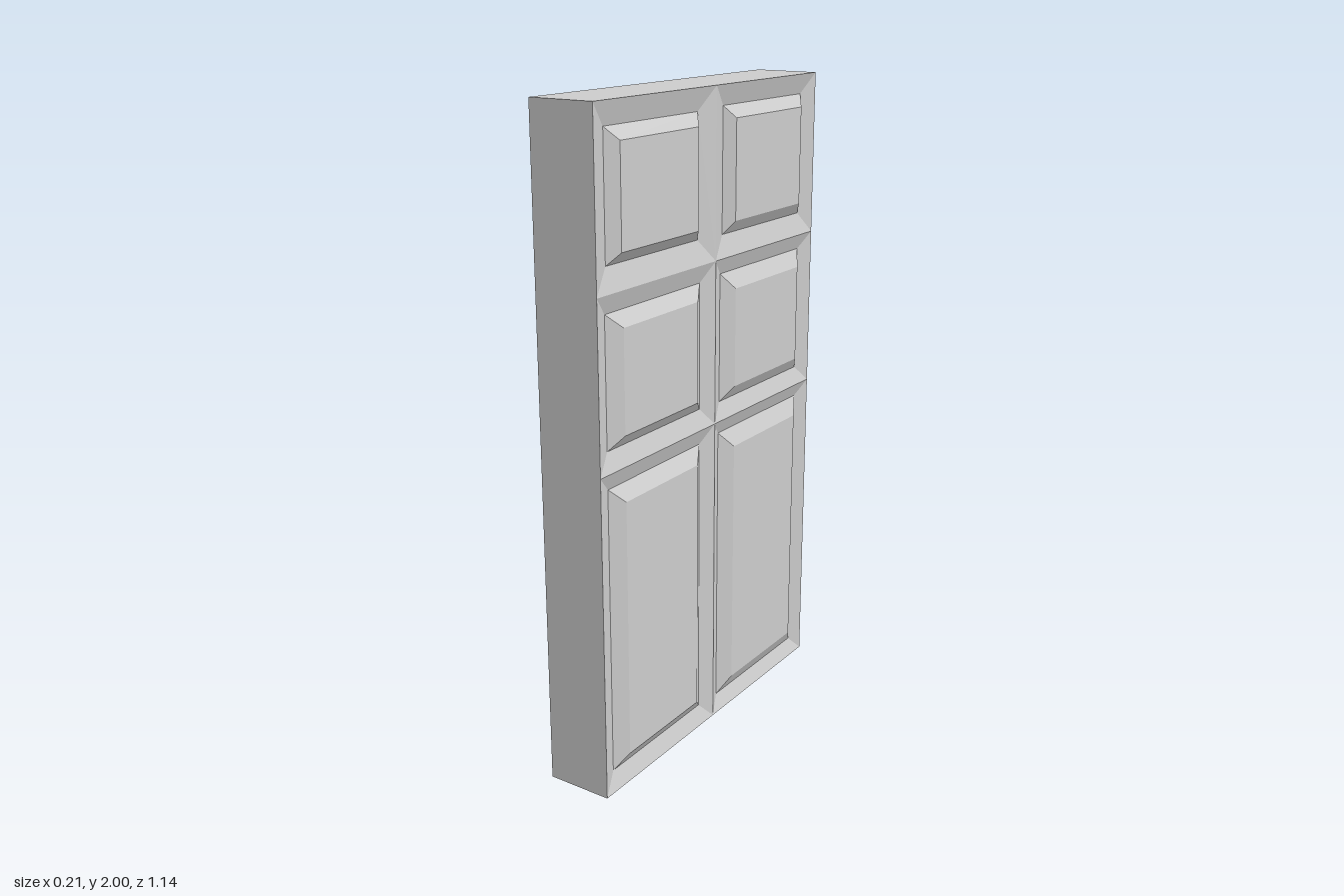
import * as THREE from 'three';

const BACK = -0.107, FRONT = 0.0995, GROOVE = 0.08, FACE = 0.1065;
const HALF = 0.568;

// Rectangle facing +x, counter-clockwise when seen from +x
const rect = (x, y0, y1, z0, z1) => [[x, y0, z0], [x, y1, z0], [x, y1, z1], [x, y0, z1]];

// Joins successive rectangles with flat quads; optional caps close the ends
function loft(rings, capStart, capEnd) {
  const pos = [];
  const quad = (a, b, c, d) => pos.push(...a, ...b, ...c, ...a, ...c, ...d);
  for (let r = 0; r < rings.length - 1; r++) {
    const a = rings[r], b = rings[r + 1];
    for (let i = 0; i < 4; i++) {
      const j = (i + 1) % 4;
      quad(a[i], a[j], b[j], b[i]);
    }
  }
  if (capStart) quad(...[...rings[0]].reverse());
  if (capEnd) quad(...rings[rings.length - 1]);
  const g = new THREE.BufferGeometry();
  g.setAttribute('position', new THREE.Float32BufferAttribute(pos, 3));
  g.computeVertexNormals();
  return g;
}

export function createModel() {
  const door = new THREE.Group();
  door.name = 'panelDoor';
  const material = new THREE.MeshStandardMaterial({ color: 0xcccccc, flatShading: true });
  const add = (name, geometry) => {
    const mesh = new THREE.Mesh(geometry, material);
    mesh.name = name;
    door.add(mesh);
  };

  // Slab: back and four edges, the front is filled by the panel cells
  add('slab', loft([rect(BACK, 0, 2, -HALF, HALF), rect(FRONT, 0, 2, -HALF, HALF)], true, false));

  // Each panel: cell [y0, y1, z0, z1], groove rectangle, raised face rectangle
  const panels = [
    ['lowerLeft', [0, 1, 0, HALF], [0.058, 0.947, 0.056, 0.511], [0.1, 0.9, 0.104, 0.462]],
    ['lowerRight', [0, 1, -HALF, 0], [0.05, 0.953, -0.518, -0.048], [0.1, 0.9, -0.471, -0.1]],
    ['middleLeft', [1, 1.5, 0, HALF], [1.058, 1.443, 0.056, 0.511], [1.095, 1.4, 0.104, 0.462]],
    ['middleRight', [1, 1.5, -HALF, 0], [1.053, 1.45, -0.513, -0.053], [1.095, 1.4, -0.471, -0.1]],
    ['upperLeft', [1.5, 2, 0, HALF], [1.571, 1.932, 0.069, 0.503], [1.604, 1.895, 0.102, 0.466]],
    ['upperRight', [1.5, 2, -HALF, 0], [1.566, 1.938, -0.507, -0.063], [1.604, 1.902, -0.471, -0.095]],
  ];
  for (const [name, cell, groove, face] of panels) {
    // Frame sloping down into the groove
    add(name + 'Frame', loft([rect(FRONT, ...cell), rect(GROOVE, ...groove)]));
    // Raised panel with bevelled border
    add(name + 'Panel', loft([rect(GROOVE, ...groove), rect(FACE, ...face)], false, true));
  }
  return door;
}
